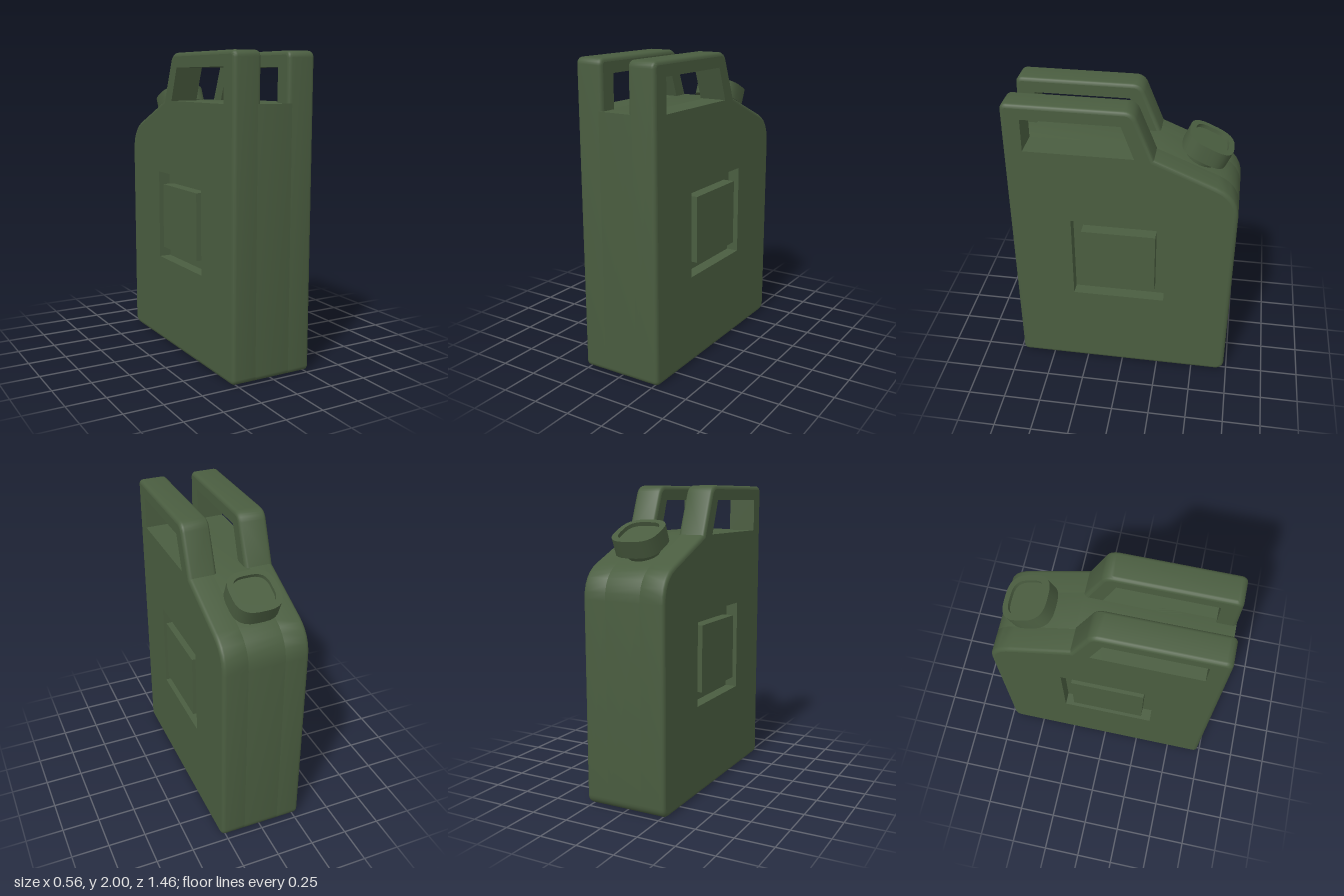
import * as THREE from 'three';
import { mergeGeometries, toCreasedNormals } from 'three/addons/utils/BufferGeometryUtils.js';

const SEG = 6;
const BEVEL = 0.025;

// Closed shape from [u, y, cut] corners; cut is how far the rounding reaches along each edge.
function rounded(corners) {
  const shape = new THREE.Shape();
  const n = corners.length;
  const toward = (a, b, d) => {
    const len = Math.hypot(b[0] - a[0], b[1] - a[1]);
    return [a[0] + ((b[0] - a[0]) * d) / len, a[1] + ((b[1] - a[1]) * d) / len];
  };
  corners.forEach((c, i) => {
    const cut = c[2] || 0;
    const start = toward(c, corners[(i + n - 1) % n], cut);
    if (i === 0) shape.moveTo(...start);
    else shape.lineTo(...start);
    if (cut) shape.quadraticCurveTo(c[0], c[1], ...toward(c, corners[(i + 1) % n], cut));
  });
  shape.closePath();
  return shape;
}

const rect = (cx, cy, hx, hy, cut = 0) => rounded([
  [cx - hx, cy - hy, cut], [cx + hx, cy - hy, cut], [cx + hx, cy + hy, cut], [cx - hx, cy + hy, cut],
]);

const withHoles = (shape, ...holes) => {
  const s = shape.clone();
  s.holes = holes;
  return s;
};

// Turn every triangle around.
function reverse(geo) {
  const p = geo.attributes.position;
  const b = new THREE.Vector3(), c = new THREE.Vector3();
  for (let i = 0; i < p.count; i += 3) {
    b.fromBufferAttribute(p, i + 1);
    c.fromBufferAttribute(p, i + 2);
    p.setXYZ(i + 1, c.x, c.y, c.z);
    p.setXYZ(i + 2, b.x, b.y, b.z);
  }
  return geo;
}

// Side walls only of an extrusion between z0 and z1.
function walls(shape, z0, z1, bevel = 0) {
  const ex = new THREE.ExtrudeGeometry(shape, {
    depth: z1 - z0 - 2 * bevel, curveSegments: SEG, bevelEnabled: bevel > 0,
    bevelSize: bevel, bevelThickness: bevel, bevelSegments: 4,
  });
  const { start, count } = ex.groups[1];
  const geo = new THREE.BufferGeometry();
  const pos = ex.attributes.position.array.slice(start * 3, (start + count) * 3);
  geo.setAttribute('position', new THREE.BufferAttribute(pos, 3));
  return geo.translate(0, 0, z0 + bevel);
}

// Flat face at depth z.
function lid(shape, z) {
  const geo = new THREE.ShapeGeometry(shape, SEG).toNonIndexed();
  geo.deleteAttribute('uv');
  geo.deleteAttribute('normal');
  return geo.translate(0, 0, z);
}

const join = (parts) => mergeGeometries(parts.map((g) => toCreasedNormals(g, 0.65)));

export function createModel() {
  const group = new THREE.Group();
  const material = new THREE.MeshStandardMaterial({ color: 0x4a5d40 });
  const add = (name, geo) => {
    const mesh = new THREE.Mesh(geo, material);
    mesh.name = name;
    group.add(mesh);
    return mesh;
  };

  // Profiles run in u = -z, inset by the bevel that grows them to full size.
  const lower = [[-0.705, 0.025, 0.012], [0.705, 0.025, 0.04], [0.705, 1.454, 0.14]];
  const sideOutline = rounded([
    ...lower, [0.18, 1.671], [0.0555, 1.975, 0.04], [-0.705, 1.975, 0.018],
  ]);
  const centreOutline = rounded([...lower, [0.195, 1.665], [-0.705, 1.665]]);

  // Handle window and square groove around the side panel
  const handleWindow = rounded([[-0.61, 1.69], [0, 1.69], [0.08, 1.69], [0, 1.905], [-0.61, 1.905]]);
  const grooveOuter = rect(-0.0225, 0.9, 0.3075, 0.3);
  const grooveInner = rect(-0.0225, 0.9, 0.2425, 0.22);
  const inner = 0.095, outer = 0.28, grooveFloor = 0.2;

  // Each side shell carries its own handle rail
  for (const [name, side] of [['leftSide', 1], ['rightSide', -1]]) {
    const parts = [
      walls(sideOutline, inner, outer, BEVEL),
      lid(withHoles(sideOutline, handleWindow, grooveOuter), outer),
      reverse(lid(withHoles(sideOutline, handleWindow), inner)),
      reverse(walls(handleWindow, inner, outer)),
      reverse(walls(grooveOuter, grooveFloor, outer)),
      lid(withHoles(grooveOuter, grooveInner), grooveFloor),
      walls(grooveInner, grooveFloor, outer),
      lid(grooveInner, outer),
    ];
    for (const g of parts) {
      g.rotateY(Math.PI / 2);
      if (side < 0) reverse(g.scale(-1, 1, 1));
    }
    add(name, join(parts));
  }

  // Centre of the tank, its ends buried in the side shells
  add('tankCentre', join([walls(centreOutline, -0.145, 0.145, BEVEL).rotateY(Math.PI / 2)]));

  // Tilted filler neck and cap
  const tilt = 0.42;
  const filler = new THREE.Group();
  filler.name = 'filler';
  filler.position.set(0, 1.626, -0.4855);
  filler.rotation.x = -tilt;
  group.add(filler);

  const neck = add('neck', new THREE.CylinderGeometry(0.115, 0.09, 0.1, 16));
  neck.position.y = -0.045;

  const rim = rect(0, 0, 0.152, 0.152, 0.125);
  const dish = rect(0, 0, 0.115, 0.115, 0.09);
  const top = 0.11, dishFloor = 0.085;
  const cap = add('cap', join([
    walls(rim, 0, top),
    reverse(lid(rim, 0)),
    lid(withHoles(rim, dish), top),
    reverse(walls(dish, dishFloor, top)),
    lid(dish, dishFloor),
  ]).rotateX(-Math.PI / 2));
  filler.add(neck, cap);

  return group;
}
